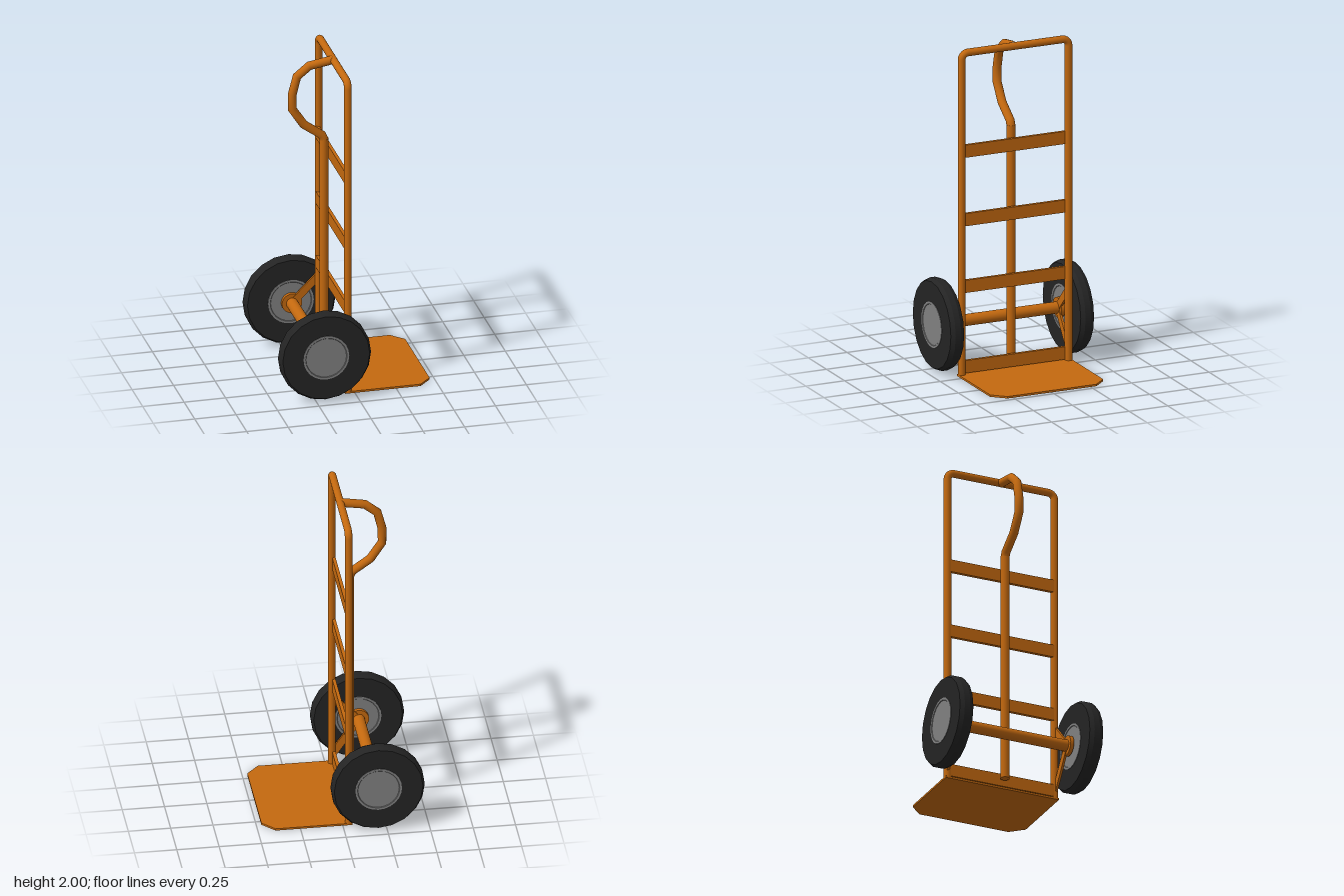
import * as THREE from 'three';

const orange = new THREE.MeshStandardMaterial({ color: 0xc4690f });
const black = new THREE.MeshStandardMaterial({ color: 0x242424 });
const grey = new THREE.MeshStandardMaterial({ color: 0x808080 });

const FRAME_X = -0.037, FRAME_Z = 0.345, AXLE_X = -0.197, AXLE_Y = 0.287;

// A path that puts one tube ring at each given point
class Polyline extends THREE.Curve {
  constructor(points) { super(); this.points = points; }
  getPoint(t, target = new THREE.Vector3()) {
    const f = t * (this.points.length - 1);
    const i = Math.min(Math.floor(f), this.points.length - 2);
    return target.lerpVectors(this.points[i], this.points[i + 1], f - i);
  }
  getPointAt(u, target) { return this.getPoint(u, target); }
  getTangentAt(u, target = new THREE.Vector3()) {
    const n = this.points.length - 1, i = Math.round(u * n), p = this.points;
    if (i > 0) target.subVectors(p[i], p[i - 1]).normalize(); else target.set(0, 0, 0);
    if (i < n) target.add(p[i + 1].clone().sub(p[i]).normalize());
    return target.normalize();
  }
}

function add(parent, name, geometry, material = orange, x = 0, y = 0, z = 0) {
  const mesh = new THREE.Mesh(geometry, material);
  mesh.name = name;
  mesh.position.set(x, y, z);
  parent.add(mesh);
  return mesh;
}

function pipe(parent, name, points, radius) {
  const path = new Polyline(points.map(p => new THREE.Vector3(...p)));
  return add(parent, name, new THREE.TubeGeometry(path, points.length - 1, radius, 16));
}

// Round disc or bar lying along z
function zCylinder(radius, length, sides = 24) {
  return new THREE.CylinderGeometry(radius, radius, length, sides).rotateX(Math.PI / 2);
}

function makeWheel(side) {
  const wheel = new THREE.Group();
  wheel.name = side > 0 ? 'leftWheel' : 'rightWheel';
  wheel.position.set(AXLE_X, AXLE_Y, side * 0.419);
  // Tyre: separate lathe bands keep the shoulder edges sharp
  const profile = [[0.13, -0.043], [0.262, -0.043], [0.276, -0.018], [0.276, 0.018], [0.262, 0.043], [0.13, 0.043]];
  for (let i = 0; i < profile.length - 1; i++) {
    const band = [profile[i], profile[i + 1]].map(p => new THREE.Vector2(...p));
    add(wheel, 'tyre', new THREE.LatheGeometry(band, 20).rotateX(Math.PI / 2), black);
  }
  // Rim ring and hub disc
  const ring = [[0.122, -0.043], [0.125, -0.046], [0.138, -0.046], [0.138, 0.046], [0.125, 0.046], [0.122, 0.043]];
  const rim = new THREE.LatheGeometry(ring.map(p => new THREE.Vector2(...p)), 24).rotateX(Math.PI / 2);
  add(wheel, 'rim', rim.toNonIndexed(), grey).geometry.computeVertexNormals();
  add(wheel, 'hub', zCylinder(0.124, 0.086), grey);
  return wheel;
}

export function createModel() {
  const model = new THREE.Group();
  model.name = 'handTruck';

  // Upright hoop with rounded top corners
  const bend = 0.04, top = 1.977;
  const half = [[FRAME_X, 0.006, FRAME_Z]];
  for (let i = 0; i <= 5; i++) {
    const a = i / 5 * Math.PI / 2;
    half.push([FRAME_X, top - bend + bend * Math.sin(a), FRAME_Z - bend + bend * Math.cos(a)]);
  }
  pipe(model, 'frame', [...half, ...half.map(([x, y, z]) => [x, y, -z]).reverse()], 0.0225);

  // Flat cross slats
  for (const y of [0.055, 0.546, 0.954, 1.373])
    add(model, 'slat', new THREE.BoxGeometry(0.02, 0.077, 2 * FRAME_Z - 0.02), orange, -0.047, y, 0);

  // Central post and curved grip
  add(model, 'post', new THREE.CylinderGeometry(0.027, 0.027, 1.43, 16), orange, -0.093, 0.765, 0);
  pipe(model, 'handle', [
    [-0.093, 1.44, 0], [-0.093, 1.475, 0], [-0.107, 1.505, 0], [-0.215, 1.582, 0], [-0.284, 1.687, 0],
    [-0.284, 1.783, 0], [-0.256, 1.893, 0], [-0.182, 1.953, 0], [-0.04, 1.977, 0],
  ], 0.026);

  // Toe plate with clipped front corners
  const plate = new THREE.Shape([
    [-0.058, -0.365], [0.397, -0.365], [0.47, -0.287], [0.47, 0.287], [0.397, 0.365], [-0.058, 0.365],
  ].map(p => new THREE.Vector2(...p)));
  const plateGeometry = new THREE.ExtrudeGeometry(plate, { depth: 0.012, bevelEnabled: false });
  add(model, 'toePlate', plateGeometry.rotateX(-Math.PI / 2));

  // Axle
  add(model, 'axle', zCylinder(0.035, 0.8), orange, AXLE_X, AXLE_Y, 0);

  for (const side of [1, -1]) {
    add(model, 'collar', zCylinder(0.061, 0.022), orange, AXLE_X, AXLE_Y, side * 0.358);
    // Two flat struts from the axle to the upright
    for (const y of [0.45, 0.06]) {
      const dx = FRAME_X - AXLE_X, dy = y - AXLE_Y;
      const strut = add(model, 'strut', new THREE.BoxGeometry(Math.hypot(dx, dy), 0.045, 0.014), orange,
        AXLE_X + dx / 2, AXLE_Y + dy / 2, side * 0.349);
      strut.rotation.z = Math.atan2(dy, dx);
    }
    model.add(makeWheel(side));
  }
  return model;
}
